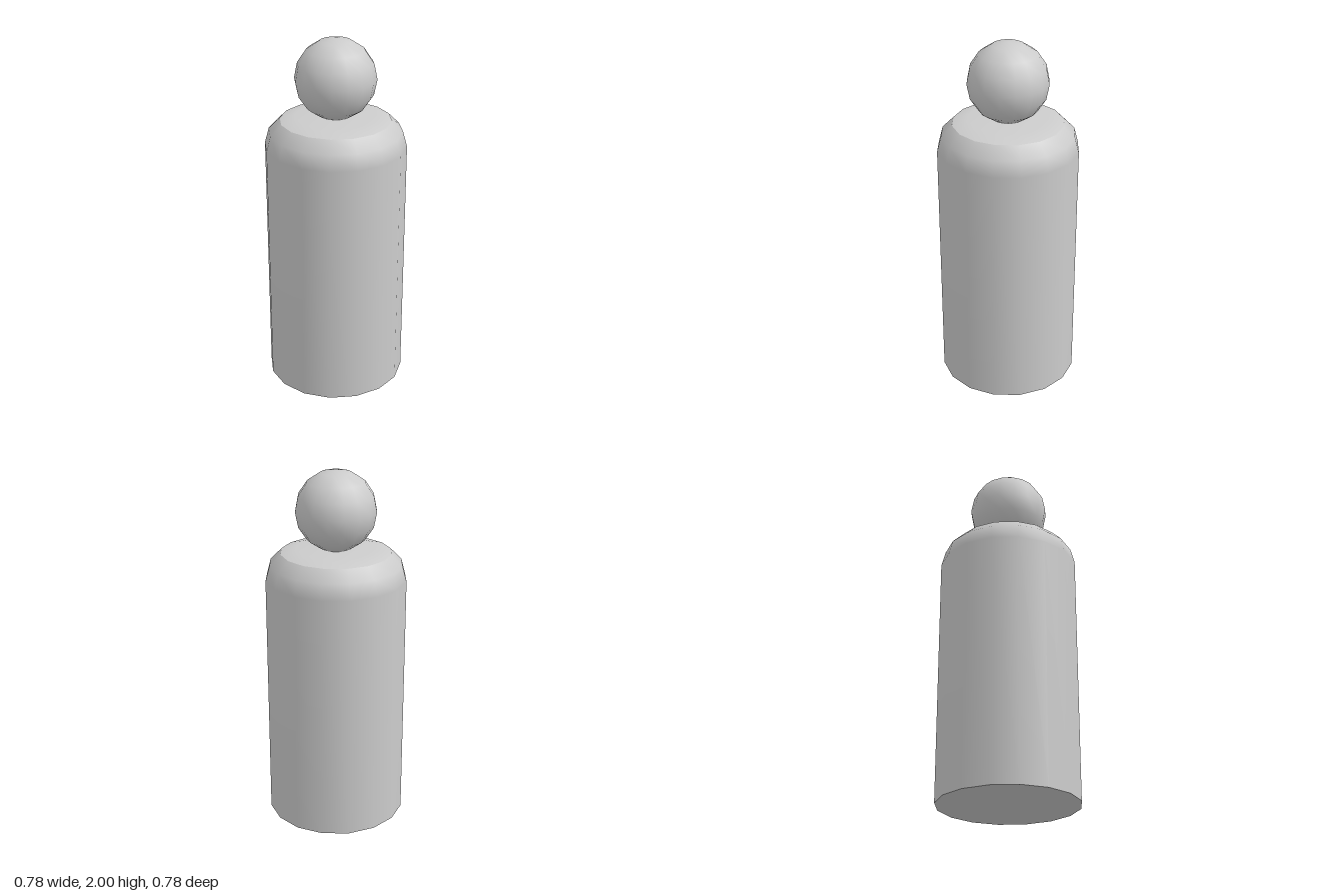
import * as THREE from 'three';

const SIDES = 16;
const RADIUS = 0.39, BEVEL = 0.17, TOP = 1.57;

export function createModel() {
  const group = new THREE.Group();
  const material = new THREE.MeshStandardMaterial({ color: 0xcccccc });
  const add = (name, geometry, parent = group) => {
    const mesh = new THREE.Mesh(geometry, material);
    mesh.name = name;
    parent.add(mesh);
    return mesh;
  };
  const lathe = (points) => new THREE.LatheGeometry(points, SIDES);

  // Point on the rounded shoulder, 0 = side wall, 3 = flat top
  const shoulder = (i) => {
    const a = (i * Math.PI) / 6;
    return new THREE.Vector2(RADIUS - BEVEL + BEVEL * Math.cos(a), TOP - BEVEL + BEVEL * Math.sin(a));
  };

  // Body: separate lathes and base keep the rims sharp
  const body = new THREE.Group();
  body.name = 'body';
  group.add(body);
  add('bodyWall', lathe([new THREE.Vector2(RADIUS, 0), shoulder(0), shoulder(1), shoulder(2)]), body);
  add('bodyTop', lathe([shoulder(2), shoulder(3), new THREE.Vector2(0, TOP)]), body);
  add('bodyBase', new THREE.CircleGeometry(RADIUS, SIDES).rotateX(Math.PI / 2), body);

  // Ball head, sunk slightly into the body top
  add('head', new THREE.SphereGeometry(0.223, SIDES, 8)).position.y = 1.777;

  return group;
}
